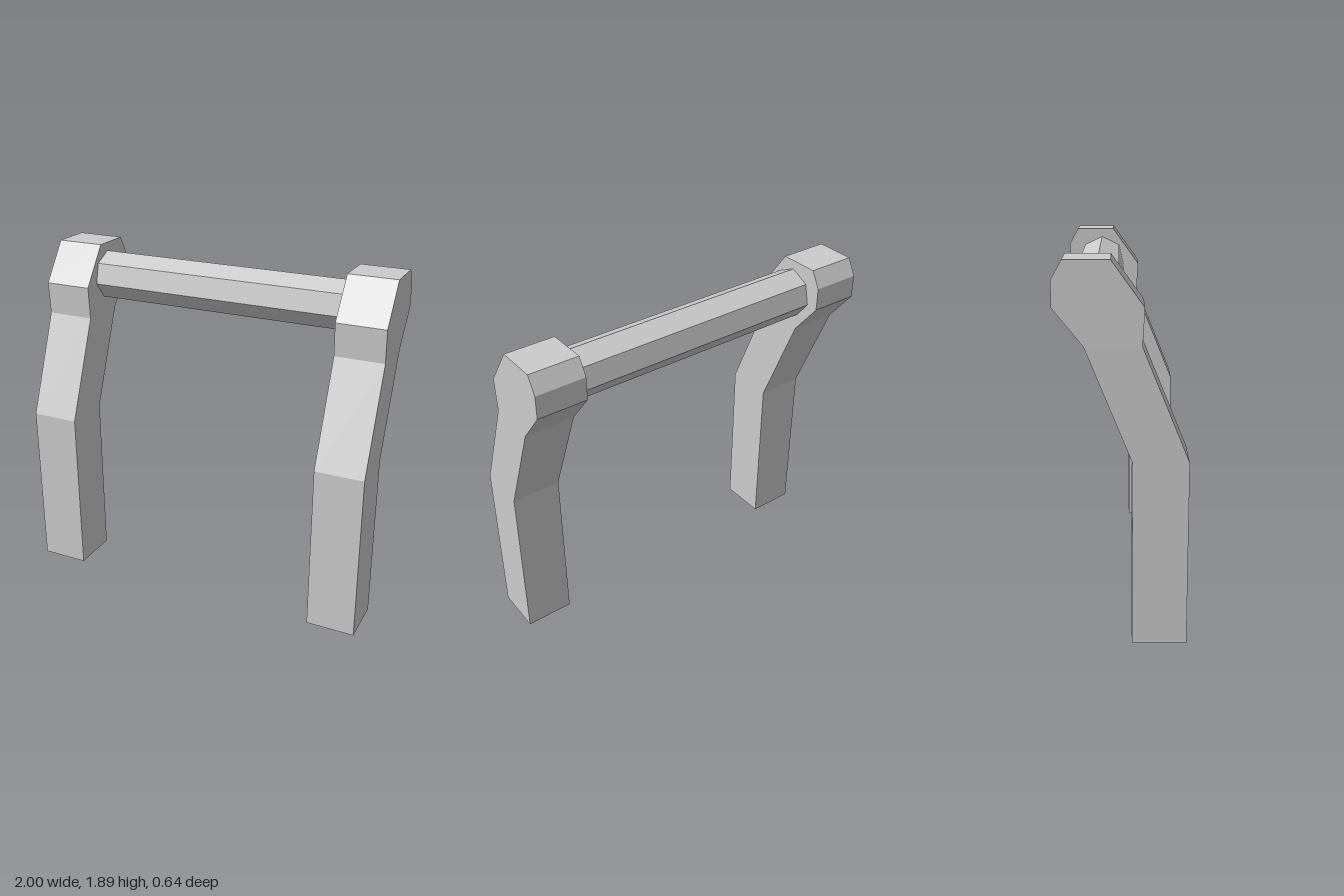
import * as THREE from 'three';

const material = new THREE.MeshStandardMaterial({
  color: 0xcccccc, flatShading: true, side: THREE.DoubleSide,
});

// Side outline of a post as [z, y]: upright foot, leaning neck, faceted head
const POST_OUTLINE = [
  [0.05, 0], [0.32, 0], [0.32, 0.94], [0.095, 1.495], [0.105, 1.675],
  [-0.05, 1.89], [-0.27, 1.89], [-0.32, 1.8], [-0.32, 1.675],
  [-0.175, 1.495], [0.05, 0.94],
];
const POST_WIDTH = 0.27;

// Extrudes the outline across x and leaves the underside open
function postGeometry() {
  const shape = new THREE.Shape(POST_OUTLINE.map(([z, y]) => new THREE.Vector2(z, y)));
  const solid = new THREE.ExtrudeGeometry(shape, { depth: POST_WIDTH, bevelEnabled: false });
  solid.translate(0, 0, -POST_WIDTH / 2).rotateY(-Math.PI / 2);
  const p = solid.attributes.position;
  const kept = [];
  for (let i = 0; i < p.count; i += 3) {
    const onGround = [0, 1, 2].every((k) => Math.abs(p.getY(i + k)) < 1e-5);
    if (onGround) continue;
    for (let k = 0; k < 3; k++) kept.push(p.getX(i + k), p.getY(i + k), p.getZ(i + k));
  }
  const geometry = new THREE.BufferGeometry();
  geometry.setAttribute('position', new THREE.Float32BufferAttribute(kept, 3));
  geometry.computeVertexNormals();
  return geometry;
}

export function createModel() {
  const group = new THREE.Group();
  group.name = 'gateFrame';

  // Pair of bent posts
  const geometry = postGeometry();
  for (const [name, side] of [['leftPost', 1], ['rightPost', -1]]) {
    const post = new THREE.Mesh(geometry, material);
    post.name = name;
    post.position.x = side * (1 - POST_WIDTH / 2);
    group.add(post);
  }

  // Seven-sided crossbar between the heads, one edge pointing up
  const length = 2 * (1 - POST_WIDTH);
  const barGeometry = new THREE.CylinderGeometry(0.135, 0.135, length, 7, 1, true, Math.PI / 2);
  const crossbar = new THREE.Mesh(barGeometry.rotateZ(Math.PI / 2), material);
  crossbar.name = 'crossbar';
  crossbar.position.set(0, 1.707, -0.12);
  group.add(crossbar);

  return group;
}
